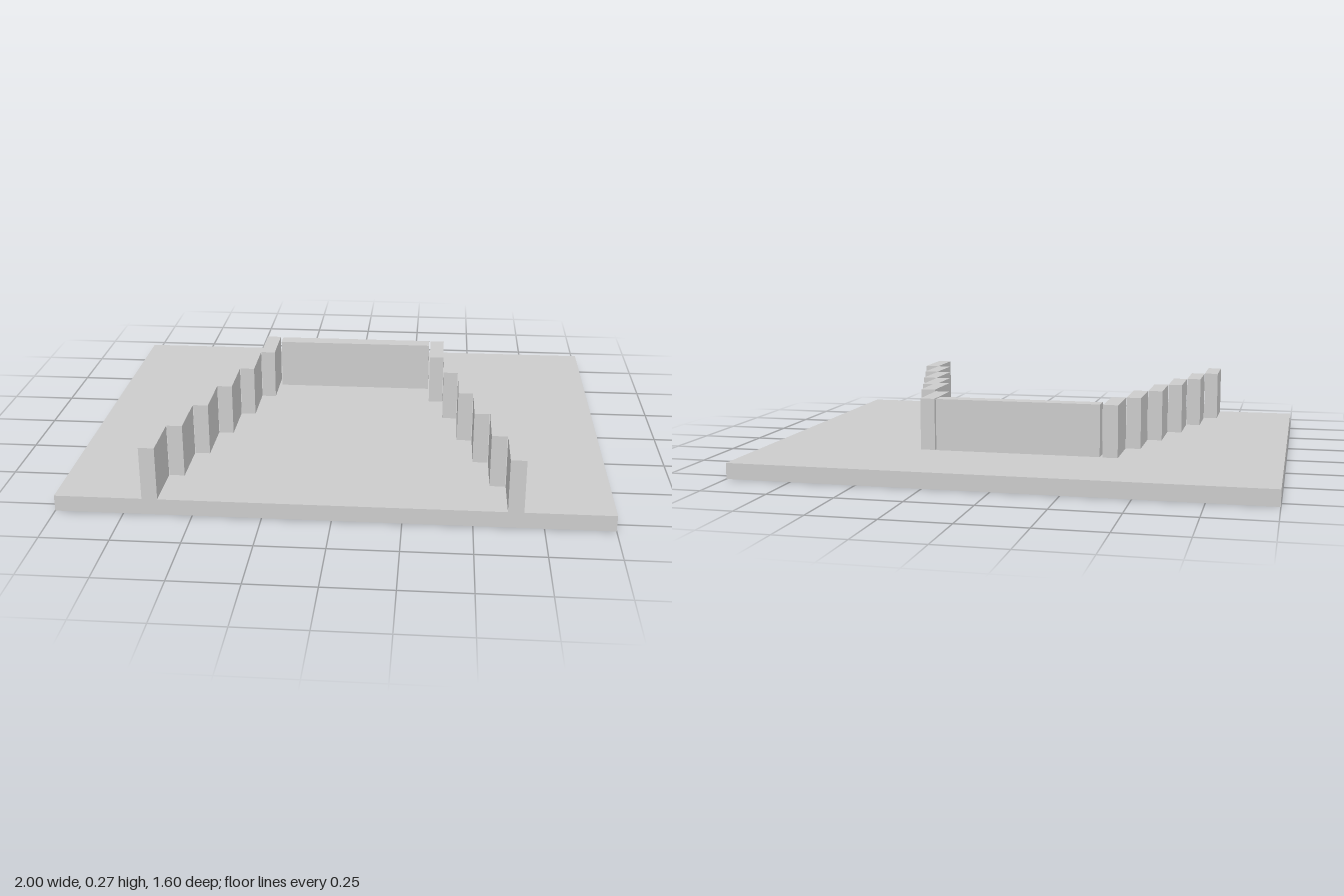
import * as THREE from 'three';

const material = new THREE.MeshStandardMaterial({ color: 0xcccccc, flatShading: true });

// Box given by its minimum and maximum corners
function block(name, [x0, y0, z0], [x1, y1, z1]) {
  const mesh = new THREE.Mesh(new THREE.BoxGeometry(x1 - x0, y1 - y0, z1 - z0), material);
  mesh.name = name;
  mesh.position.set((x0 + x1) / 2, (y0 + y1) / 2, (z0 + z1) / 2);
  return mesh;
}

export function createModel() {
  const group = new THREE.Group();
  group.name = 'steppedWallOnBase';
  const base = 0.06, height = 0.2, length = 0.2, thick = 0.057;

  group.add(block('basePlate', [-1, 0, -0.8], [1, base, 0.8]));
  group.add(block('backWall', [-0.32, base, -0.395], [0.32, base + height, -0.335]));

  // Two rows of wall panels stepping outwards towards the front
  const rightRow = new THREE.Group();
  rightRow.name = 'rightWall';
  const leftRow = new THREE.Group();
  leftRow.name = 'leftWall';
  for (let i = 0; i < 6; i++) {
    const z = -0.4 + i * length;
    const xr = -0.332 - i * 0.0583;
    rightRow.add(block('rightWallPanel', [xr - thick, base, z], [xr, base + height, z + length]));

    // The left row has a slightly raised second panel and a nudged rear panel
    const xl = 0.326 + i * 0.0588;
    const lift = i === 1 ? 0.007 : 0;
    const shift = i === 0 ? 0.007 : 0;
    leftRow.add(block('leftWallPanel', [xl, base + lift, z + shift],
      [xl + thick, base + height + lift, z + length + shift]));
  }
  group.add(rightRow, leftRow);
  return group;
}
